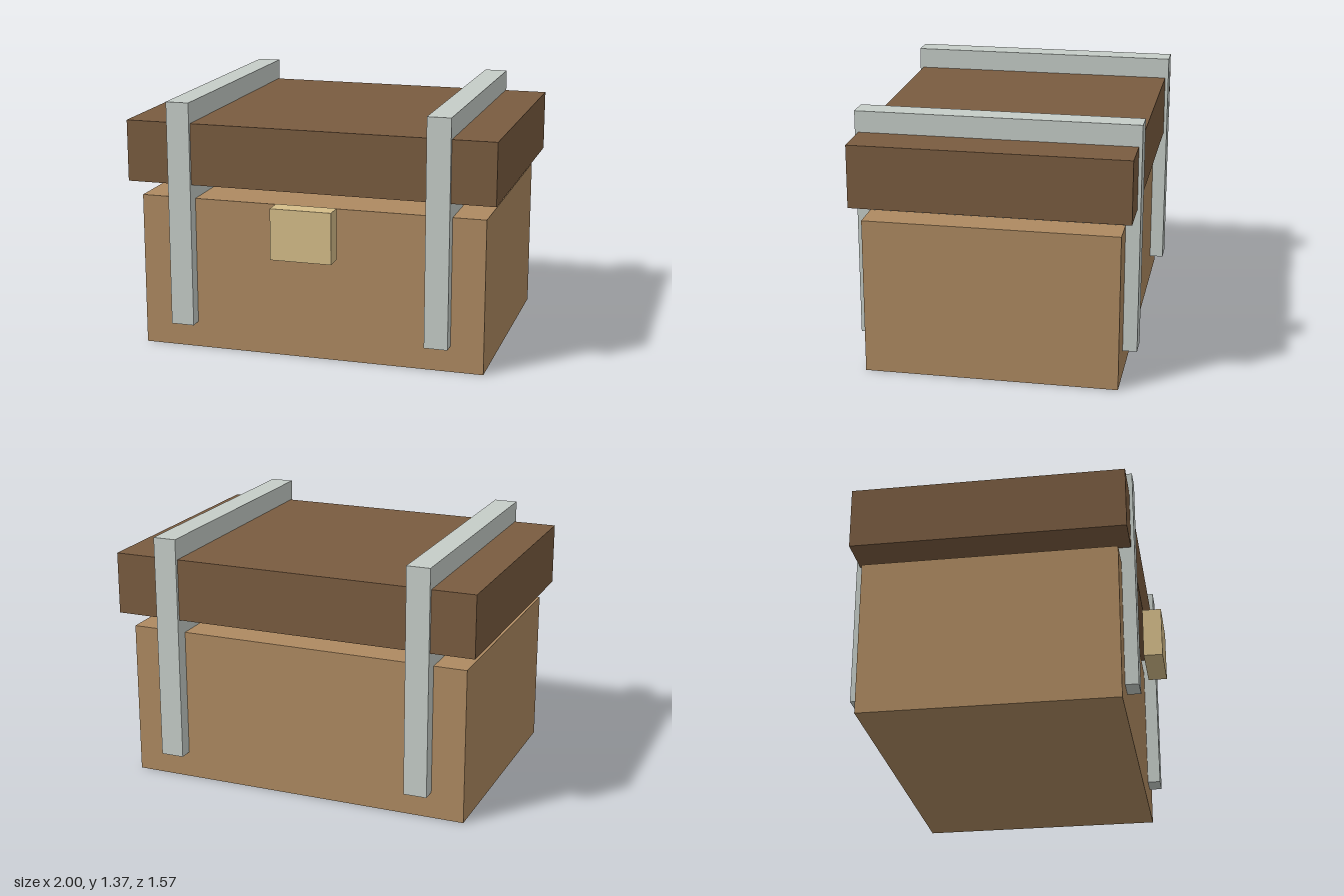
import * as THREE from 'three';

// Box given by its extents on each axis
function block(name, color, [x0, x1], [y0, y1], [z0, z1]) {
  const mesh = new THREE.Mesh(
    new THREE.BoxGeometry(x1 - x0, y1 - y0, z1 - z0),
    new THREE.MeshStandardMaterial({ color })
  );
  mesh.position.set((x0 + x1) / 2, (y0 + y1) / 2, (z0 + z1) / 2);
  mesh.name = name;
  return mesh;
}

export function createModel() {
  const chest = new THREE.Group();
  chest.name = 'chest';

  // Wooden body and the wider lid raised above it
  chest.add(block('body', 0xae8a61, [-0.943, 0.943], [0, 0.835], [-0.71, 0.625]));
  chest.add(block('lid', 0x7a5c40, [-1, 1], [0.92, 1.252], [-0.767, 0.677]));

  // Metal bands running through the full depth
  for (const [name, x] of [['leftBand', 0.703], ['rightBand', -0.703]]) {
    chest.add(block(name, 0xc6cdc8, [x - 0.063, x + 0.063], [0.142, 1.365], [-0.785, 0.695]));
  }

  // Latch plate standing just off the front
  chest.add(block('latch', 0xd6be8a, [-0.165, 0.165], [0.577, 0.853], [0.682, 0.785]));

  return chest;
}
